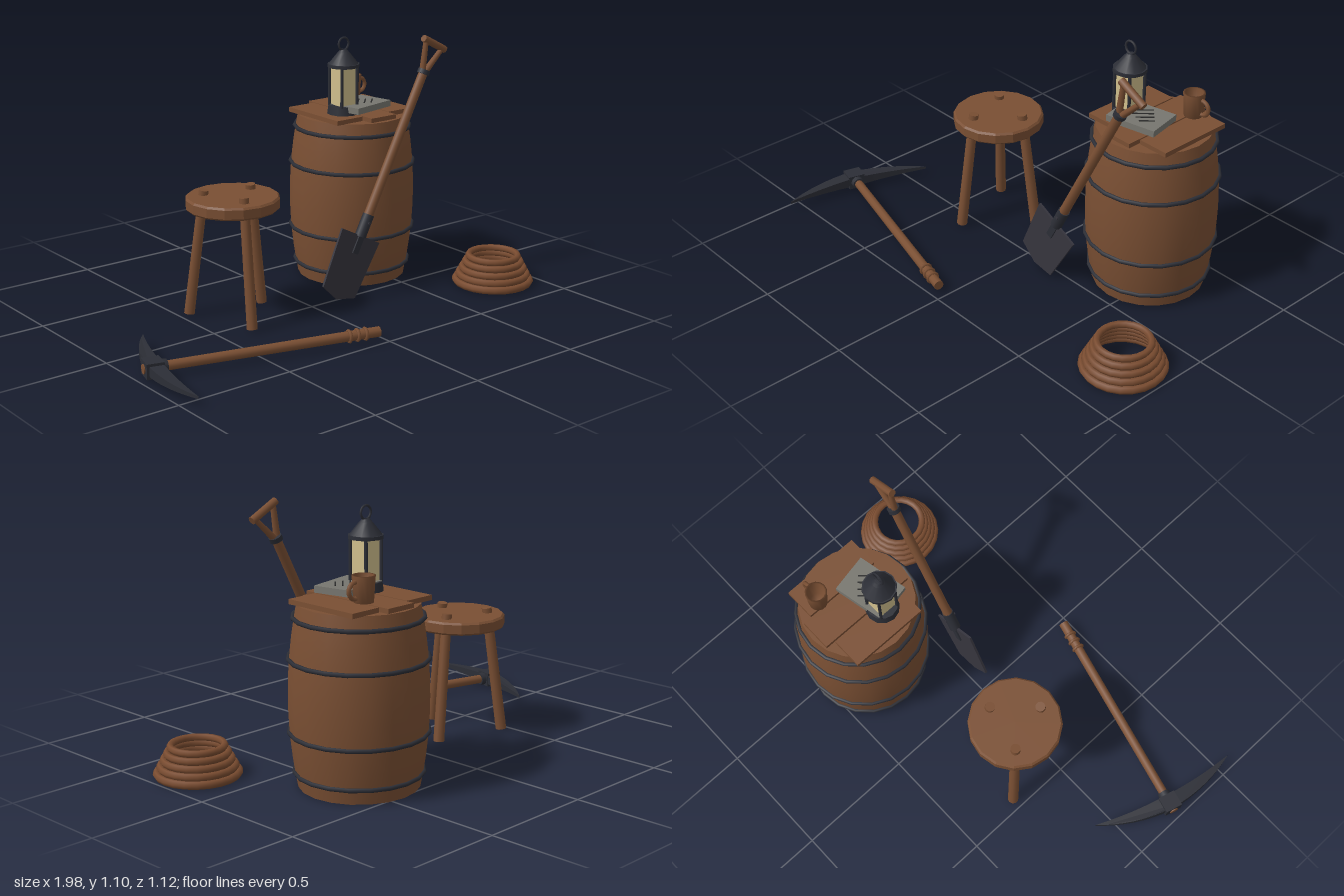
import * as THREE from 'three';

export function createModel() {
  const root = new THREE.Group();
  const mat = (name, color, extra = {}) => Object.assign(new THREE.MeshStandardMaterial({ color, ...extra }), { name });
  const wood = mat('wood', 0x7a4f33);
  const openWood = mat('openWood', 0x7a4f33, { side: THREE.DoubleSide });
  const rope = mat('rope', 0x7a4c30);
  const iron = mat('iron', 0x2c2e36);
  const steel = mat('steel', 0x36353e);
  const glass = mat('glass', 0xd0be8c);
  const paper = mat('paper', 0x77766f);
  const ink = mat('ink', 0x2a2a2a);

  const V = (x, y, z) => new THREE.Vector3(x, y, z);
  const group = (name, x, y, z, parent = root) => {
    const g = new THREE.Group();
    g.name = name;
    g.position.set(x, y, z);
    parent.add(g);
    return g;
  };
  const add = (parent, name, geo, m, x = 0, y = 0, z = 0) => {
    const mesh = new THREE.Mesh(geo, m);
    mesh.name = name;
    mesh.position.set(x, y, z);
    parent.add(mesh);
    return mesh;
  };
  const cyl = (rTop, rBottom, h, n = 12) => new THREE.CylinderGeometry(rTop, rBottom, h, n);
  const box = (w, h, d) => new THREE.BoxGeometry(w, h, d);
  // Round bar running from a to b
  const rod = (parent, name, a, b, rA, rB, m, n = 10) => {
    const mesh = add(parent, name, cyl(rB, rA, a.distanceTo(b), n), m);
    mesh.position.copy(a).add(b).multiplyScalar(0.5);
    mesh.quaternion.setFromUnitVectors(V(0, 1, 0), b.clone().sub(a).normalize());
    return mesh;
  };
  const flatRing = (parent, name, R, r, m, y, sides = 6, n = 20) => {
    const t = add(parent, name, new THREE.TorusGeometry(R, r, sides, n), m, 0, y, 0);
    t.rotation.x = Math.PI / 2;
    return t;
  };

  // Barrel with bulging staves and four hoops
  const barrel = group('barrel', 0.443, 0, -0.28);
  const bulge = [];
  for (let i = 0; i <= 12; i++) {
    const t = i / 12;
    bulge.push(new THREE.Vector2(0.238 + 0.036 * (1 - (2 * t - 1) ** 2), 0.005 + 0.725 * t));
  }
  add(barrel, 'staves', new THREE.LatheGeometry(bulge, 20), wood);
  for (const [name, y, turn] of [['lid', 0.73, -1], ['barrelBottom', 0.005, 1]]) {
    const points = [new THREE.Vector2(0.238, y), new THREE.Vector2(0, y)];
    add(barrel, name, new THREE.LatheGeometry(turn < 0 ? points : points.reverse(), 20), wood);
  }
  for (const [y, R] of [[0.065, 0.252], [0.225, 0.271], [0.515, 0.271], [0.675, 0.252]])
    flatRing(barrel, 'hoop', R, 0.009, iron, y);

  // Three planks as a table top
  for (const [x, length, z] of [[-0.143, 0.34, -0.01], [0, 0.435, -0.003], [0.143, 0.34, -0.01]])
    add(barrel, 'plank', box(0.137, 0.02, length), wood, x, 0.739, z);

  // Tablet of notes with ink strokes
  const notes = group('notes', 0.43, 0.776, -0.213);
  notes.rotation.y = 0.2;
  add(notes, 'page', box(0.223, 0.027, 0.165), paper);
  for (let i = 0; i < 4; i++) {
    const s = add(notes, 'inkStroke', box(0.1 - 0.012 * i, 0.003, 0.006), ink, -0.02 + i * 0.022, 0.0145, -0.03 + i * 0.02);
    s.rotation.y = 0.6;
  }

  // Lantern
  const lantern = group('lantern', 0.348, 0, -0.225);
  add(lantern, 'lanternBase', cyl(0.065, 0.07, 0.037, 12), iron, 0, 0.768, 0);
  add(lantern, 'lanternGlass', box(0.076, 0.17, 0.076), glass, 0, 0.87, 0);
  for (const x of [-0.042, 0.042])
    for (const z of [-0.042, 0.042])
      add(lantern, 'lanternPost', cyl(0.007, 0.007, 0.175, 6), iron, x, 0.87, z);
  add(lantern, 'lanternEave', cyl(0.07, 0.07, 0.014, 12), iron, 0, 0.96, 0);
  add(lantern, 'lanternRoof', cyl(0.026, 0.066, 0.05, 12), iron, 0, 0.99, 0);
  add(lantern, 'lanternCap', cyl(0.015, 0.026, 0.012, 12), iron, 0, 1.021, 0);
  add(lantern, 'lanternRing', new THREE.TorusGeometry(0.027, 0.005, 6, 16), iron, 0, 1.052, 0);

  // Hollow mug with a side handle
  const mug = group('mug', 0.537, 0.763, -0.4);
  const mugProfile = [[0, 0], [0.038, 0], [0.045, 0.102], [0.037, 0.102], [0.032, 0.012], [0, 0.012]];
  add(mug, 'mugBody', new THREE.LatheGeometry(mugProfile.map(p => new THREE.Vector2(...p)), 14), openWood);
  const ear = new THREE.TorusGeometry(0.031, 0.009, 6, 12, Math.PI * 1.1);
  ear.rotateZ(-Math.PI * 0.55);
  add(mug, 'mugHandle', ear, wood, 0.046, 0.05, 0);

  // Shovel leaning against the barrel; its origin is the top of the blade
  const shovel = group('shovel', 0.225, 0.286, 0.045);
  shovel.rotation.z = -0.476;
  const outline = [[-0.114, 0], [-0.096, -0.257], [0, -0.287], [0.096, -0.257], [0.114, 0]];
  const bladeShape = new THREE.Shape(outline.map(p => new THREE.Vector2(...p)));
  add(shovel, 'blade', new THREE.ExtrudeGeometry(bladeShape, { depth: 0.01, bevelEnabled: false }), steel, 0, 0, -0.005);
  add(shovel, 'bladeTongue', box(0.03, 0.09, 0.024), iron, 0, -0.035, 0);
  add(shovel, 'socket', cyl(0.025, 0.025, 0.1, 10), iron, 0, 0.045, 0);
  add(shovel, 'rivet', cyl(0.006, 0.006, 0.056, 6), steel, 0, 0.06, 0).rotation.x = Math.PI / 2;
  add(shovel, 'shovelHandle', cyl(0.02, 0.021, 0.7, 10), wood, 0, 0.4, 0);
  add(shovel, 'collar', cyl(0.027, 0.027, 0.02, 10), iron, 0, 0.742, 0);
  for (const s of [-1, 1])
    rod(shovel, 'gripArm', V(s * 0.008, 0.745, 0), V(s * 0.052, 0.87, 0), 0.014, 0.011, wood, 8);
  rod(shovel, 'gripBar', V(-0.068, 0.87, 0), V(0.068, 0.87, 0), 0.016, 0.016, wood, 8);

  // Three-legged stool, legs splayed and pegged through the seat
  const stool = group('stool', -0.318, 0, -0.115);
  const seatProfile = [[0, 0.472], [0.186, 0.472], [0.194, 0.48], [0.194, 0.517], [0.186, 0.525], [0, 0.525]];
  const seat = new THREE.LatheGeometry(seatProfile.map(p => new THREE.Vector2(...p)), 16).toNonIndexed();
  seat.computeVertexNormals();
  add(stool, 'seat', seat, wood);
  for (let i = 0; i < 3; i++) {
    const a = THREE.MathUtils.degToRad(103 + 120 * i), c = Math.cos(a), s = Math.sin(a);
    rod(stool, 'stoolLeg', V(c * 0.188, 0.012, s * 0.188), V(c * 0.118, 0.545, s * 0.118), 0.023, 0.021, wood);
  }

  // Pickaxe lying on the ground; local +x runs down the handle
  const pick = group('pickaxe', -0.93, 0.045, 0.23);
  pick.rotation.y = -0.26;
  rod(pick, 'pickHandle', V(-0.045, 0, 0), V(0.932, 0, 0), 0.019, 0.021, wood);
  for (const x of [0.8, 0.835, 0.87]) {
    const band = add(pick, 'gripBand', new THREE.TorusGeometry(0.022, 0.007, 6, 12), wood, x, 0, 0);
    band.rotation.y = Math.PI / 2;
  }
  add(pick, 'pickEye', box(0.07, 0.062, 0.075), iron, -0.005, 0, 0);
  rod(pick, 'pickCollar', V(0.025, 0, 0), V(0.05, 0, 0), 0.029, 0.026, iron);
  // Curved head, drawn flat and thinned toward its points
  const head = new THREE.Shape();
  head.moveTo(0.06, -0.33);
  head.quadraticCurveTo(-0.025, -0.18, -0.032, 0);
  head.quadraticCurveTo(-0.025, 0.18, 0.06, 0.33);
  head.quadraticCurveTo(0.028, 0.16, 0.028, 0);
  head.quadraticCurveTo(0.028, -0.16, 0.06, -0.33);
  const headGeo = new THREE.ExtrudeGeometry(head, { depth: 1, bevelEnabled: false, curveSegments: 8 });
  const p = headGeo.attributes.position;
  for (let i = 0; i < p.count; i++)
    p.setZ(i, (p.getZ(i) - 0.5) * 0.044 * (1 - 0.75 * Math.abs(p.getY(i)) / 0.33));
  headGeo.rotateX(-Math.PI / 2);
  headGeo.computeVertexNormals();
  add(pick, 'pickHead', headGeo, iron);

  // Coil of rope, narrowing toward the top
  const coil = group('ropeCoil', 0.818, 0, 0.242);
  for (let i = 0; i < 5; i++)
    flatRing(coil, 'ropeTurn', 0.161 - 0.0135 * i, 0.017 - 0.0006 * i, rope, 0.02 + 0.027 * i, 6, 22);

  return root;
}
